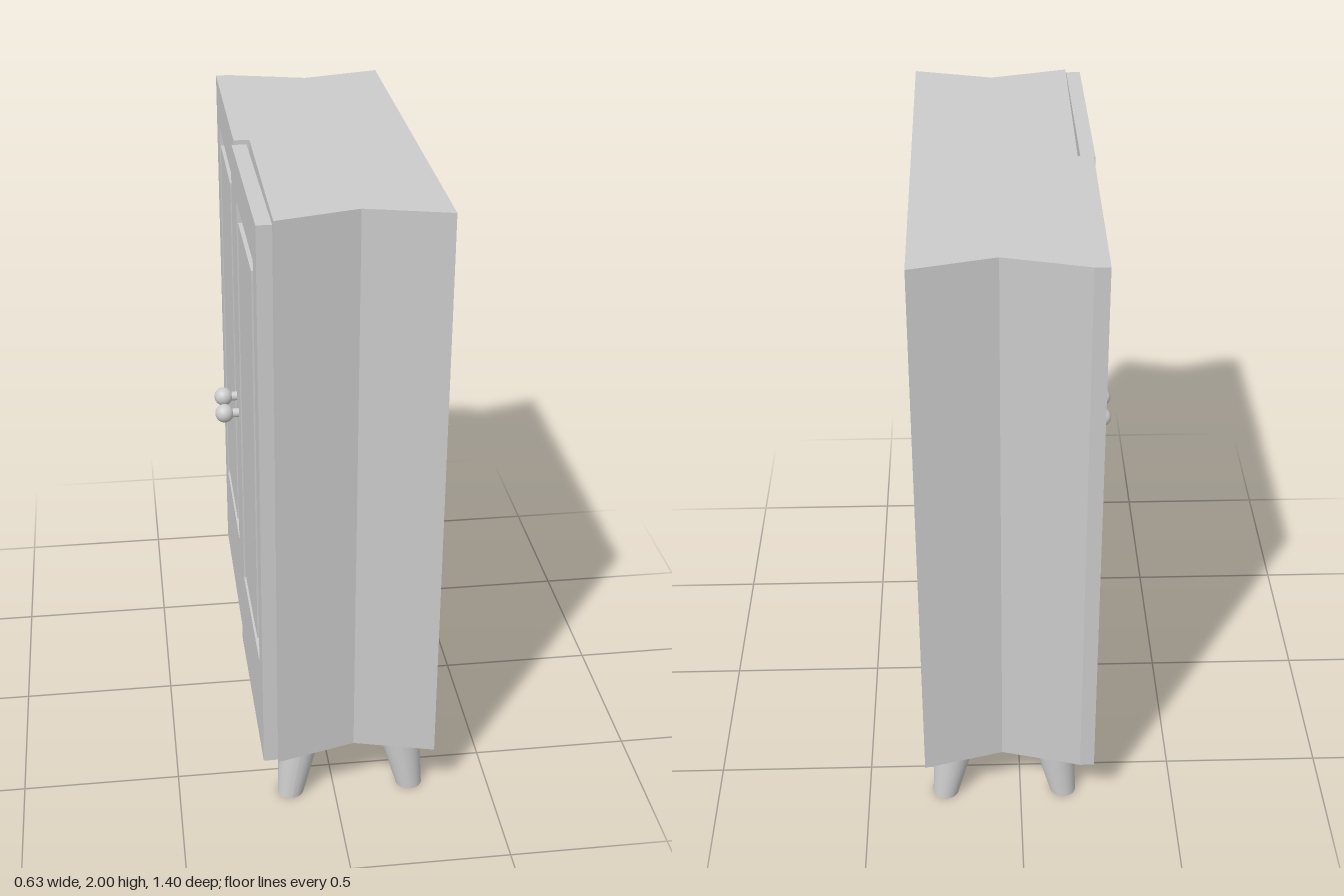
import * as THREE from 'three';

const material = new THREE.MeshStandardMaterial({ color: 0xcccccc, side: THREE.DoubleSide });

function mesh(name, geometry, parent) {
  const m = new THREE.Mesh(geometry, material);
  m.name = name;
  parent.add(m);
  return m;
}

// Vertical prism from a plan outline of [x, z] points
function prism(outline, y0, y1) {
  const shape = new THREE.Shape(outline.map(([x, z]) => new THREE.Vector2(x, -z)));
  return new THREE.ExtrudeGeometry(shape, { depth: y1 - y0, bevelEnabled: false })
    .rotateX(-Math.PI / 2).translate(0, y0, 0);
}

function rect(PathType, z0, z1, y0, y1) {
  return new PathType([[z0, y0], [z1, y0], [z1, y1], [z0, y1]].map(p => new THREE.Vector2(...p)));
}

// Upright slab in the z-y plane, from its back at xBack towards -x, with an optional opening
function slab([z0, z1, y0, y1], xBack, thickness, opening) {
  const shape = rect(THREE.Shape, z0, z1, y0, y1);
  if (opening) shape.holes.push(rect(THREE.Path, ...opening));
  return new THREE.ExtrudeGeometry(shape, { depth: thickness, bevelEnabled: false })
    .rotateY(-Math.PI / 2).translate(xBack, 0, 0);
}

const inset = ([z0, z1, y0, y1], d) => [z0 + d, z1 - d, y0 + d, y1 - d];

// Knob on a short stem, pointing to -x from the door face
function addKnob(parent, x, y, z) {
  const knob = new THREE.Group();
  knob.name = 'doorKnob';
  mesh('knobStem', new THREE.CylinderGeometry(0.015, 0.015, 0.04, 20).rotateZ(Math.PI / 2), knob)
    .position.x = -0.015;
  mesh('knobBall', new THREE.SphereGeometry(0.03, 24, 16), knob).position.x = -0.046;
  knob.position.set(x, y, z);
  parent.add(knob);
}

// Tapered leg sheared outwards, its ends staying level
function addLeg(parent, sx, sz) {
  const height = 0.19;
  const geometry = new THREE.CylinderGeometry(0.067, 0.042, height, 32);
  const p = geometry.attributes.position;
  for (let i = 0; i < p.count; i++) {
    const drop = 0.5 - p.getY(i) / height;
    p.setX(i, p.getX(i) + sx * 0.032 * drop);
    p.setZ(i, p.getZ(i) + sz * 0.03 * drop);
  }
  geometry.computeVertexNormals();
  mesh('leg', geometry, parent).position.set(0.053 + sx * 0.162, height / 2, sz * 0.58);
}

export function createModel() {
  const model = new THREE.Group();
  model.name = 'cabinet';

  // Carcass with V-shaped hollow ends; one half stands forward behind the closed door
  mesh('carcass', prism([
    [-0.2, -0.7], [-0.19, -0.7], [0.06, -0.635], [0.31, -0.7],
    [0.31, 0.7], [0.06, 0.635], [-0.187, 0.7], [-0.187, 0.006], [-0.2, 0.006],
  ], 0.19, 2), model);

  // Closed door, flush with the carcass
  const closedDoor = new THREE.Group();
  closedDoor.name = 'closedDoor';
  model.add(closedDoor);
  const closedGroove = [-0.6, -0.116, 0.52, 1.855];
  mesh('doorFrame', slab([-0.7, 0.006, 0.19, 2], -0.2, 0.035, closedGroove), closedDoor);
  mesh('raisedPanel', slab(inset(closedGroove, 0.052), -0.2, 0.035), closedDoor);
  addKnob(closedDoor, -0.235, 1.11, -0.055);

  // Second door, hinged at its outer edge and slightly ajar
  const openDoor = new THREE.Group();
  openDoor.name = 'openDoor';
  openDoor.position.set(-0.19, 0, 0.7);
  openDoor.rotation.y = 0.01;
  model.add(openDoor);
  const outline = [-0.682, 0, 0.2, 1.99];
  const groove = [-0.57, -0.087, 0.52, 1.855];
  mesh('doorFrame', slab(outline, 0, 0.045, groove), openDoor);
  mesh('grooveFloor', slab(groove, 0, 0.01), openDoor);
  mesh('raisedPanel', slab(inset(groove, 0.052), 0.004, 0.049), openDoor);
  addKnob(openDoor, -0.045, 1.11, -0.635);

  // Four splayed legs
  for (const sx of [-1, 1]) for (const sz of [-1, 1]) addLeg(model, sx, sz);

  return model;
}
